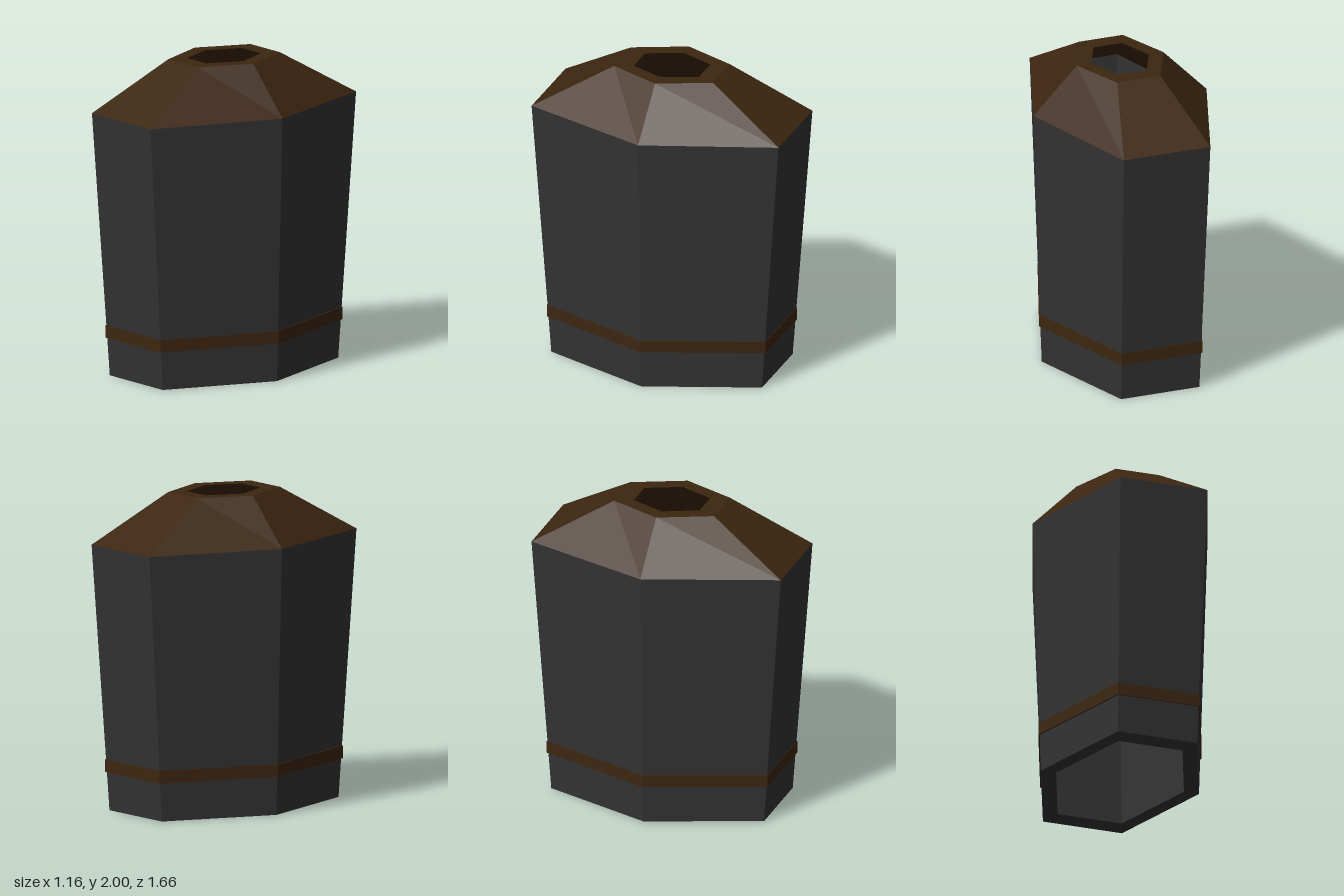
import * as THREE from 'three';

const shellGrey = new THREE.MeshStandardMaterial({ color: 0x333333, flatShading: true });
shellGrey.name = 'shellGrey';
const trimBrown = new THREE.MeshStandardMaterial({ color: 0x3d2610, flatShading: true });
trimBrown.name = 'trimBrown';

// Corner k of a stretched hexagon [halfWidth, halfDepth, height]
function corner([halfWidth, halfDepth, y], k) {
  const a = (k * Math.PI) / 3;
  return [halfWidth * Math.cos(a), y, (-halfDepth * Math.sin(a)) / Math.sin(Math.PI / 3)];
}

// Skin a row of hexagons; rising rows face outward, falling rows face inward
function hexLoft(name, rings, material) {
  const pos = [];
  for (let i = 0; i < rings.length - 1; i++) {
    for (let k = 0; k < 6; k++) {
      const a = corner(rings[i], k), b = corner(rings[i], k + 1);
      const c = corner(rings[i + 1], k + 1), d = corner(rings[i + 1], k);
      pos.push(...a, ...b, ...d, ...b, ...c, ...d);
    }
  }
  const geometry = new THREE.BufferGeometry();
  geometry.setAttribute('position', new THREE.Float32BufferAttribute(pos, 3));
  geometry.computeVertexNormals();
  const mesh = new THREE.Mesh(geometry, material);
  mesh.name = name;
  return mesh;
}

export function createModel() {
  const group = new THREE.Group();
  group.name = 'hexagonalSleeve';

  const outerBottom = [0.525, 0.71, 0];
  const innerBottom = [0.425, 0.575, 0];
  const outerShoulder = [0.58, 0.832, 1.7];
  const innerShoulder = [0.48, 0.688, 1.7];
  const outerTop = [0.29, 0.333, 2];
  const innerTop = [0.192, 0.22, 2];

  // Hollow tapering body with a thick bottom rim
  group.add(hexLoft('body', [innerShoulder, innerBottom, outerBottom, outerShoulder], shellGrey));

  // Sloped cap around the top opening, lined on the inside
  group.add(hexLoft('cap', [outerShoulder, outerTop, innerTop, innerShoulder], trimBrown));

  // Raised band near the foot, sunk into the wall
  const low = 0.245, high = 0.325;
  group.add(hexLoft('band', [
    [0.5, 0.68, low], [0.543, 0.737, low], [0.543, 0.737, high], [0.5, 0.68, high], [0.5, 0.68, low],
  ], trimBrown));

  return group;
}
